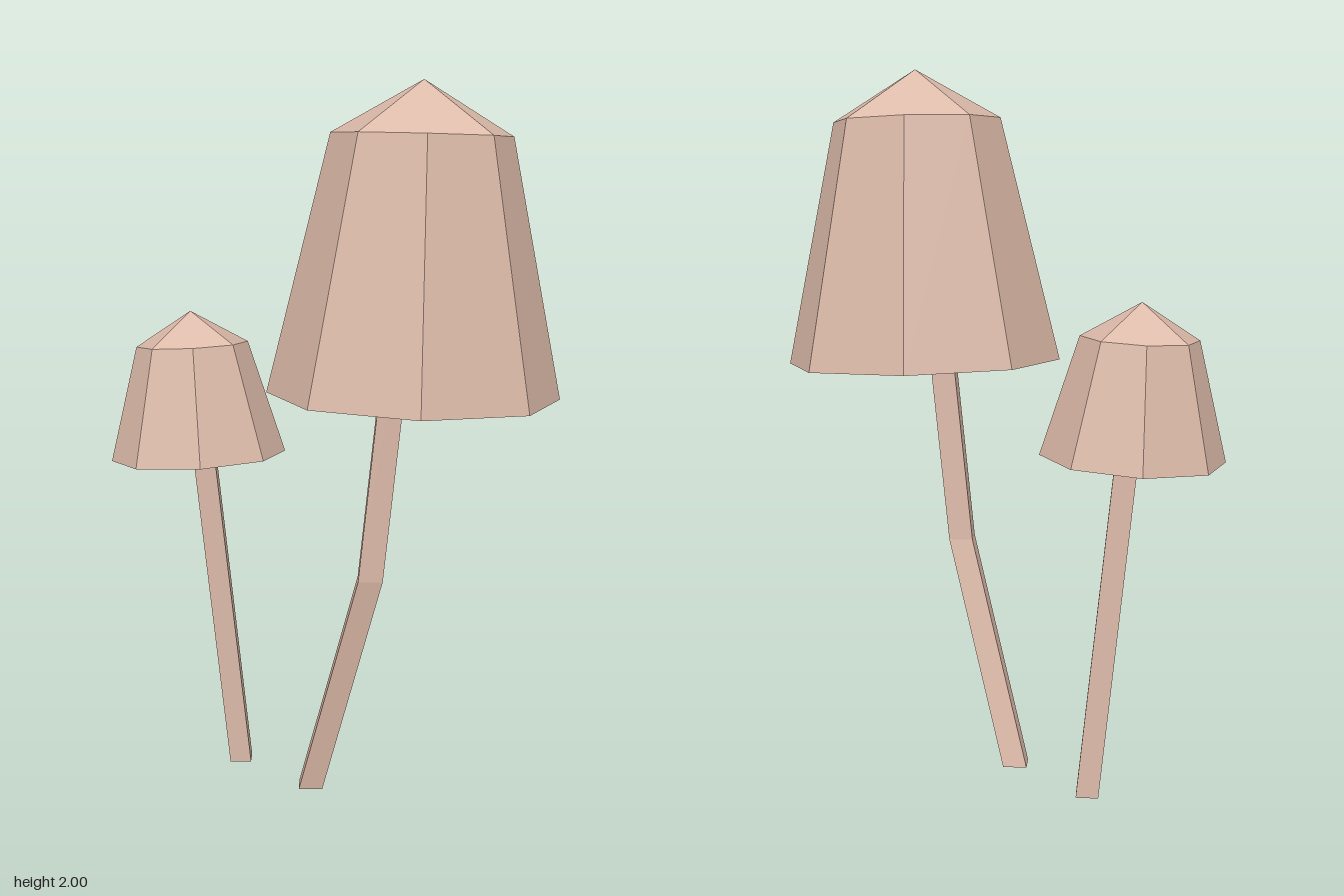
import * as THREE from 'three';

const tan = new THREE.MeshStandardMaterial({ color: 0xdcbaa9, side: THREE.DoubleSide });
tan.name = 'mushroom tan';

// Ring of n points around a centre, starting toward +z and turning toward +x.
function ring(n, radius, centre, phase = 0) {
  return Array.from({ length: n }, (_, i) => {
    const a = phase + (i / n) * Math.PI * 2;
    return new THREE.Vector3(
      centre[0] + Math.sin(a) * radius,
      centre[1],
      centre[2] + Math.cos(a) * radius
    );
  });
}

// Four-sided faces, each with one flat normal.
function quadGeometry(quads) {
  const pos = [];
  const nor = [];
  for (const [a, b, c, d] of quads) {
    const n = c.clone().sub(a).cross(d.clone().sub(b)).normalize();
    for (const p of [a, b, c, a, c, d]) {
      pos.push(p.x, p.y, p.z);
      nor.push(n.x, n.y, n.z);
    }
  }
  const g = new THREE.BufferGeometry();
  g.setAttribute('position', new THREE.Float32BufferAttribute(pos, 3));
  g.setAttribute('normal', new THREE.Float32BufferAttribute(nor, 3));
  return g;
}

// Faces joining each ring to the one above it.
function walls(rings) {
  const quads = [];
  for (let r = 0; r < rings.length - 1; r++) {
    const lo = rings[r];
    const hi = rings[r + 1];
    lo.forEach((p, i) => {
      const j = (i + 1) % lo.length;
      quads.push([p, lo[j], hi[j], hi[i]]);
    });
  }
  return quads;
}

// Hollow eight-sided bell with a pointed top of four folded faces.
function makeCap({ rim, rimRadius, shoulder, shoulderRadius, tip, phase, tiltX, tiltZ }) {
  const low = ring(8, rimRadius, [0, 0, 0], phase);
  const high = ring(8, shoulderRadius, [0, shoulder, 0], phase);
  const apex = new THREE.Vector3(0, tip, 0);
  const quads = walls([low, high]);
  for (let i = 0; i < 8; i += 2) {
    quads.push([apex, high[i], high[i + 1], high[(i + 2) % 8]]);
  }
  const cap = new THREE.Mesh(quadGeometry(quads), tan);
  cap.name = 'cap';
  cap.position.set(...rim);
  cap.rotation.set(tiltX, 0, tiltZ);
  return cap;
}

// Four-sided stem through a few centre points, closed at both ends.
function makeStem(path, radius) {
  const rings = path.map((p) => ring(4, radius, p));
  const quads = walls(rings);
  quads.push([...rings[0]].reverse(), rings[rings.length - 1]);
  const stem = new THREE.Mesh(quadGeometry(quads), tan);
  stem.name = 'stem';
  return stem;
}

function makeMushroom(name, stemPath, stemRadius, cap) {
  const g = new THREE.Group();
  g.name = name;
  g.add(makeStem(stemPath, stemRadius), makeCap(cap));
  return g;
}

export function createModel() {
  const model = new THREE.Group();
  model.name = 'mushrooms';

  model.add(
    makeMushroom(
      'tallMushroom',
      [[-0.042, 0, 0.07], [0.157, 0.65, 0.03], [0.275, 1.86, -0.034]],
      0.048,
      {
        rim: [0.253, 1.167, -0.035], rimRadius: 0.397,
        shoulder: 0.692, shoulderRadius: 0.241, tip: 0.833,
        phase: 0, tiltX: -0.008, tiltZ: -0.028,
      }
    ),
    makeMushroom(
      'smallMushroom',
      [[-0.342, 0, 0.075], [-0.418, 1.27, 0.182]],
      0.044,
      {
        rim: [-0.399, 0.945, 0.176], rimRadius: 0.253,
        shoulder: 0.328, shoulderRadius: 0.161, tip: 0.424,
        phase: 0.105, tiltX: 0.015, tiltZ: 0.05,
      }
    )
  );
  return model;
}
